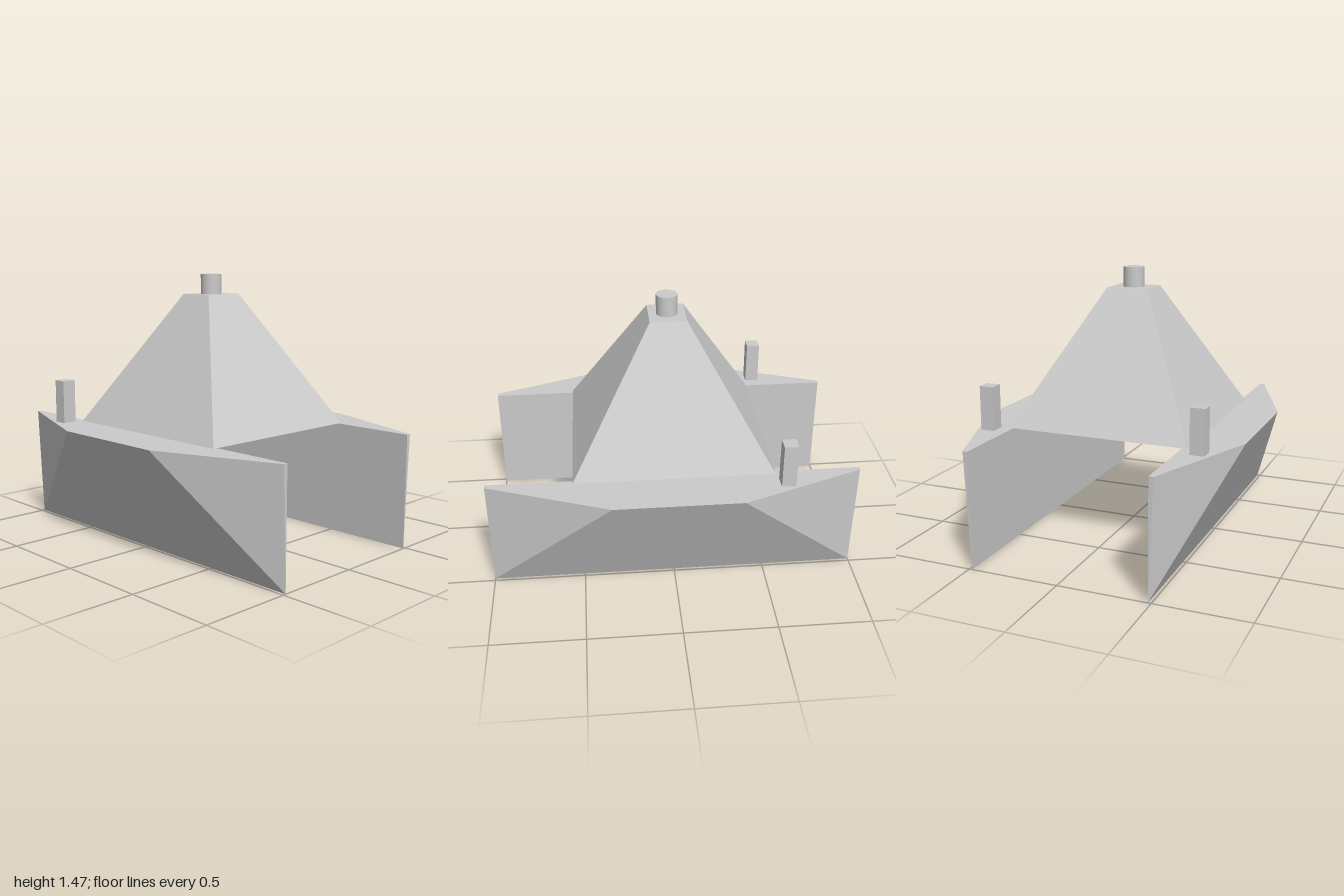
import * as THREE from 'three';
import { ConvexGeometry } from 'three/addons/geometries/ConvexGeometry.js';

const DECK = 0.63;

export function createModel() {
  const model = new THREE.Group();
  model.name = 'twinHullVessel';
  const flat = new THREE.MeshStandardMaterial({ color: 0xcccccc, flatShading: true });
  const smooth = new THREE.MeshStandardMaterial({ color: 0xcccccc });

  const add = (name, geometry, material = flat, x = 0, y = 0, z = 0) => {
    const mesh = new THREE.Mesh(geometry, material);
    mesh.name = name;
    mesh.position.set(x, y, z);
    model.add(mesh);
    return mesh;
  };

  // Solid spanned by corner points that are mirrored in x
  const mirroredSolid = (corners) => new ConvexGeometry(
    corners.flatMap(([x, y, z]) => [new THREE.Vector3(x, y, z), new THREE.Vector3(-x, y, z)]));

  // Two hulls with flat inner walls and flared outer sides, each with a post
  for (const [side, s] of [['front', 1], ['back', -1]]) {
    add(`${side}Hull`, mirroredSolid([
      [1, 0, s * 0.483],
      [1, DECK, s * 0.483],
      [1, DECK, s * 0.508],
      [0.34, DECK, s * 0.757],
    ]));
    add(`${side}Post`, new THREE.BoxGeometry(0.076, 0.24, 0.078), flat, -0.588, DECK + 0.12, s * 0.59);
  }

  // Tapered cabin bridging the hulls
  const cabin = [];
  for (const s of [1, -1]) cabin.push([0.54, DECK, s * 0.508], [0.1, 1.36, s * 0.117]);
  add('cabin', mirroredSolid(cabin));

  // Round turret on the cabin roof
  add('turret', new THREE.CylinderGeometry(0.058, 0.058, 0.11, 32), smooth, 0, 1.415, 0);

  return model;
}
